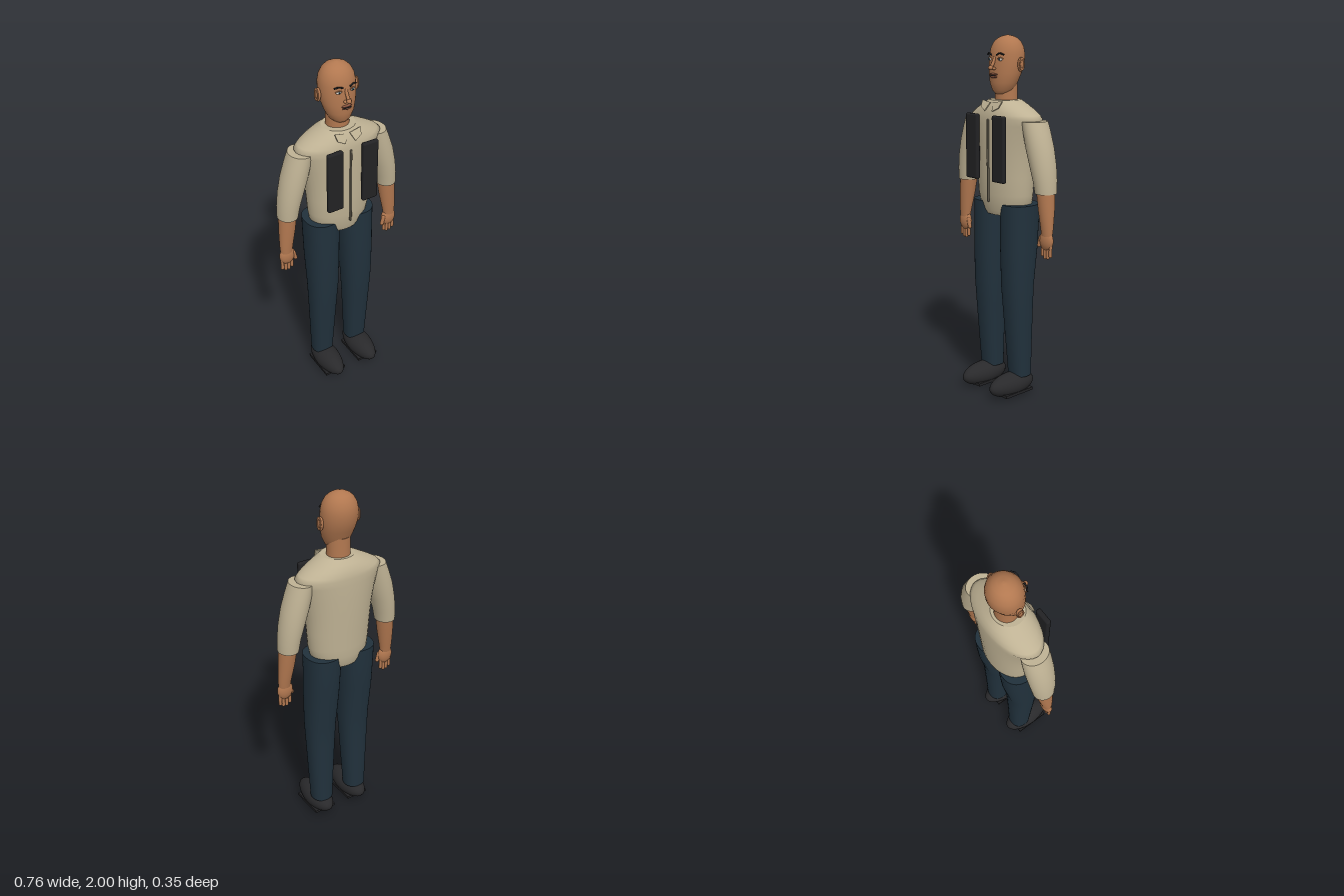
import * as THREE from 'three';
import { RoundedBoxGeometry } from 'three/addons/geometries/RoundedBoxGeometry.js';

const mat = (name, color) => {
  const m = new THREE.MeshStandardMaterial({ color, side: THREE.DoubleSide });
  m.name = name;
  return m;
};

// Smooth skin through elliptical rows [y, cx, cz, rx, rz], from bottom to top, with flat caps.
function loft(rows, power = 2, n = 36) {
  const pos = [], idx = [];
  const ring = ([y, cx, cz, rx, rz]) => {
    for (let i = 0; i < n; i++) {
      const a = (i / n) * Math.PI * 2, s = Math.sin(a), c = Math.cos(a), e = 2 / power;
      pos.push(cx + rx * Math.sign(s) * Math.abs(s) ** e, y, cz + rz * Math.sign(c) * Math.abs(c) ** e);
    }
  };
  rows.forEach(ring);
  for (let r = 0; r < rows.length - 1; r++) {
    for (let i = 0; i < n; i++) {
      const a = r * n + i, b = r * n + (i + 1) % n;
      idx.push(a, b, a + n, b, b + n, a + n);
    }
  }
  for (const [row, up] of [[rows[0], false], [rows[rows.length - 1], true]]) {
    const start = pos.length / 3;
    ring(row);
    pos.push(row[1], row[0], row[2]);
    for (let i = 0; i < n; i++) {
      const a = start + i, b = start + (i + 1) % n;
      idx.push(start + n, up ? a : b, up ? b : a);
    }
  }
  const g = new THREE.BufferGeometry();
  g.setAttribute('position', new THREE.Float32BufferAttribute(pos, 3));
  g.setIndex(idx);
  g.computeVertexNormals();
  return g;
}

const ball = (rx, ry, rz) => new THREE.SphereGeometry(1, 28, 18).scale(rx, ry, rz);
const tube = (pts, r) => new THREE.TubeGeometry(
  new THREE.CatmullRomCurve3(pts.map(p => new THREE.Vector3(...p))), 12, r, 8);

export function createModel() {
  const root = new THREE.Group();
  root.name = 'standingMan';
  const skin = mat('skin', 0xb27850), shirt = mat('shirt', 0xbfb294), denim = mat('trousers', 0x21313c);
  const black = mat('black', 0x222224), shoe = mat('shoe', 0x29292b), lip = mat('lips', 0x8a5540);
  const white = mat('eyeWhite', 0xd8d4cc), iris = mat('iris', 0x3b5560), zip = mat('zip', 0x77705f);
  const add = (name, geo, m, x = 0, y = 0, z = 0, parent = root) => {
    const mesh = new THREE.Mesh(geo, m);
    mesh.name = name;
    mesh.position.set(x, y, z);
    parent.add(mesh);
    return mesh;
  };

  // Shirt body with sloping shoulders
  add('torso', loft([
    [1.035, 0, -0.045, 0.125, 0.1], [1.06, 0, -0.045, 0.15, 0.109], [1.1, 0, -0.045, 0.17, 0.116],
    [1.15, 0, -0.042, 0.18, 0.121], [1.25, 0, -0.042, 0.187, 0.125], [1.35, 0, -0.043, 0.196, 0.128],
    [1.45, 0, -0.043, 0.215, 0.13], [1.53, 0, -0.043, 0.238, 0.13], [1.565, 0, -0.043, 0.253, 0.128],
    [1.585, 0, -0.043, 0.232, 0.126], [1.61, 0, -0.042, 0.19, 0.119], [1.635, 0, -0.04, 0.142, 0.106],
    [1.66, 0, -0.035, 0.092, 0.085]]), shirt);

  // Neck and head
  add('neck', loft([[1.6, 0, -0.045, 0.066, 0.062], [1.68, 0, -0.045, 0.063, 0.06],
    [1.76, 0, -0.045, 0.062, 0.06]]), skin);
  add('head', loft([
    [1.685, 0, -0.02, 0.022, 0.025], [1.692, 0, -0.021, 0.04, 0.043], [1.71, 0, -0.022, 0.058, 0.058],
    [1.75, 0, -0.026, 0.079, 0.071], [1.8, 0, -0.037, 0.093, 0.083], [1.85, 0, -0.048, 0.1, 0.092],
    [1.9, 0, -0.052, 0.099, 0.092], [1.935, 0, -0.053, 0.092, 0.086], [1.965, 0, -0.054, 0.076, 0.071],
    [1.983, 0, -0.055, 0.056, 0.053], [1.994, 0, -0.055, 0.034, 0.032], [2.0, 0, -0.055, 0.006, 0.006]]), skin);

  // Nose and mouth
  const face = new THREE.Group();
  face.name = 'face';
  root.add(face);
  add('noseBridge', tube([[0, 1.885, 0.037], [0, 1.86, 0.048], [0, 1.835, 0.062]], 0.009), skin, 0, 0, 0, face);
  add('noseTip', ball(0.013, 0.012, 0.014), skin, 0, 1.83, 0.067, face);
  add('upperLip', ball(0.03, 0.006, 0.009), lip, 0, 1.795, 0.047, face);
  add('lowerLip', ball(0.026, 0.007, 0.01), lip, 0, 1.782, 0.047, face);
  add('mouthLine', new THREE.BoxGeometry(0.044, 0.003, 0.006), black, 0, 1.789, 0.054, face);

  // Shirt front: zip
  add('zip', new RoundedBoxGeometry(0.012, 0.45, 0.012, 2, 0.004), zip, 0, 1.335, 0.088);

  for (const s of [-1, 1]) {
    const side = s > 0 ? 'left' : 'right';

    // Eyes, brows, nostrils and ears
    add(side + 'Eye', ball(0.015, 0.008, 0.007), white, s * 0.04, 1.874, 0.035, face);
    add(side + 'Iris', ball(0.0065, 0.0065, 0.004), iris, s * 0.04, 1.874, 0.04, face);
    add(side + 'Pupil', ball(0.003, 0.003, 0.002), black, s * 0.04, 1.874, 0.0432, face);
    add(side + 'Lid', tube([[s * 0.023, 1.877, 0.041], [s * 0.04, 1.884, 0.039], [s * 0.057, 1.876, 0.03]], 0.003),
      skin, 0, 0, 0, face);
    add(side + 'Brow', tube([[s * 0.02, 1.897, 0.044], [s * 0.043, 1.906, 0.041], [s * 0.064, 1.898, 0.03]], 0.0045),
      black, 0, 0, 0, face);
    add(side + 'Nostril', ball(0.009, 0.008, 0.01), skin, s * 0.014, 1.826, 0.056, face);
    add(side + 'Ear', ball(0.013, 0.038, 0.019), skin, s * 0.109, 1.847, -0.048);
    add(side + 'EarRim', new THREE.TorusGeometry(0.015, 0.004, 8, 20).rotateY(Math.PI / 2).scale(1, 1.9, 1),
      skin, s * 0.119, 1.85, -0.048);

    // Collar flap
    const flap = new THREE.Shape([[0.008, 0], [0.078, 0.012], [0.07, -0.028], [0.03, -0.05]]
      .map(([x, y]) => new THREE.Vector2(s * x, y)));
    const collar = add(side + 'Collar', new THREE.ExtrudeGeometry(flap,
      { depth: 0.006, bevelEnabled: false }), shirt, 0, 1.645, 0.058);
    collar.rotation.x = -0.5;

    // Chest panel
    add(side + 'ChestPanel', new RoundedBoxGeometry(0.094, 0.355, 0.028, 3, 0.01), black, s * 0.106, 1.408, 0.104);

    // Sleeve and forearm
    add(side + 'Sleeve', loft([
      [1.185, s * 0.314, -0.042, 0.056, 0.061], [1.25, s * 0.307, -0.042, 0.061, 0.068],
      [1.33, s * 0.29, -0.042, 0.068, 0.075], [1.42, s * 0.266, -0.042, 0.073, 0.079],
      [1.5, s * 0.243, -0.042, 0.068, 0.079], [1.558, s * 0.226, -0.042, 0.062, 0.077]]), shirt);
    add(side + 'Forearm', loft([
      [0.96, s * 0.337, -0.03, 0.034, 0.025], [1.0, s * 0.335, -0.032, 0.038, 0.03],
      [1.1, s * 0.324, -0.037, 0.046, 0.043], [1.2, s * 0.314, -0.041, 0.05, 0.051]]), skin);

    // Hand
    const hand = new THREE.Group();
    hand.name = side + 'Hand';
    root.add(hand);
    add('palm', ball(0.046, 0.055, 0.025), skin, s * 0.334, 0.935, -0.03, hand);
    for (let i = 0; i < 4; i++) {
      const len = [0.06, 0.075, 0.073, 0.058][i];
      add('finger', new THREE.CapsuleGeometry(0.0095, len, 5, 12), skin,
        s * (0.307 + i * 0.0195), 0.915 - len / 2 - (i === 1 || i === 2 ? 0 : 0.003), -0.03, hand);
    }
    const thumb = add('thumb', new THREE.CapsuleGeometry(0.011, 0.045, 5, 12), skin, s * 0.293, 0.925, -0.022, hand);
    thumb.rotation.z = -s * 0.25;

    // Trouser leg
    add(side + 'TrouserLeg', loft([
      [0.11, s * 0.116, -0.045, 0.063, 0.061], [0.3, s * 0.115, -0.038, 0.071, 0.07],
      [0.5, s * 0.1135, -0.032, 0.08, 0.08], [0.64, s * 0.112, -0.029, 0.087, 0.087],
      [0.85, s * 0.11, -0.04, 0.093, 0.103], [1.0, s * 0.108, -0.046, 0.096, 0.107],
      [1.1, s * 0.108, -0.048, 0.098, 0.108]], 2.3), denim);

    // Shoe, narrowing to the toe, on a flat sole
    const g = ball(0.073, 0.066, 0.156), p = g.attributes.position;
    for (let i = 0; i < p.count; i++) p.setX(i, p.getX(i) * (1 - 0.9 * Math.max(0, p.getZ(i))));
    g.computeVertexNormals();
    add(side + 'Shoe', g, shoe, s * 0.116, 0.066, 0.019);
    add(side + 'Sole', new THREE.BoxGeometry(0.132, 0.016, 0.2), black, s * 0.116, 0.027, 0.015);
  }
  return root;
}
